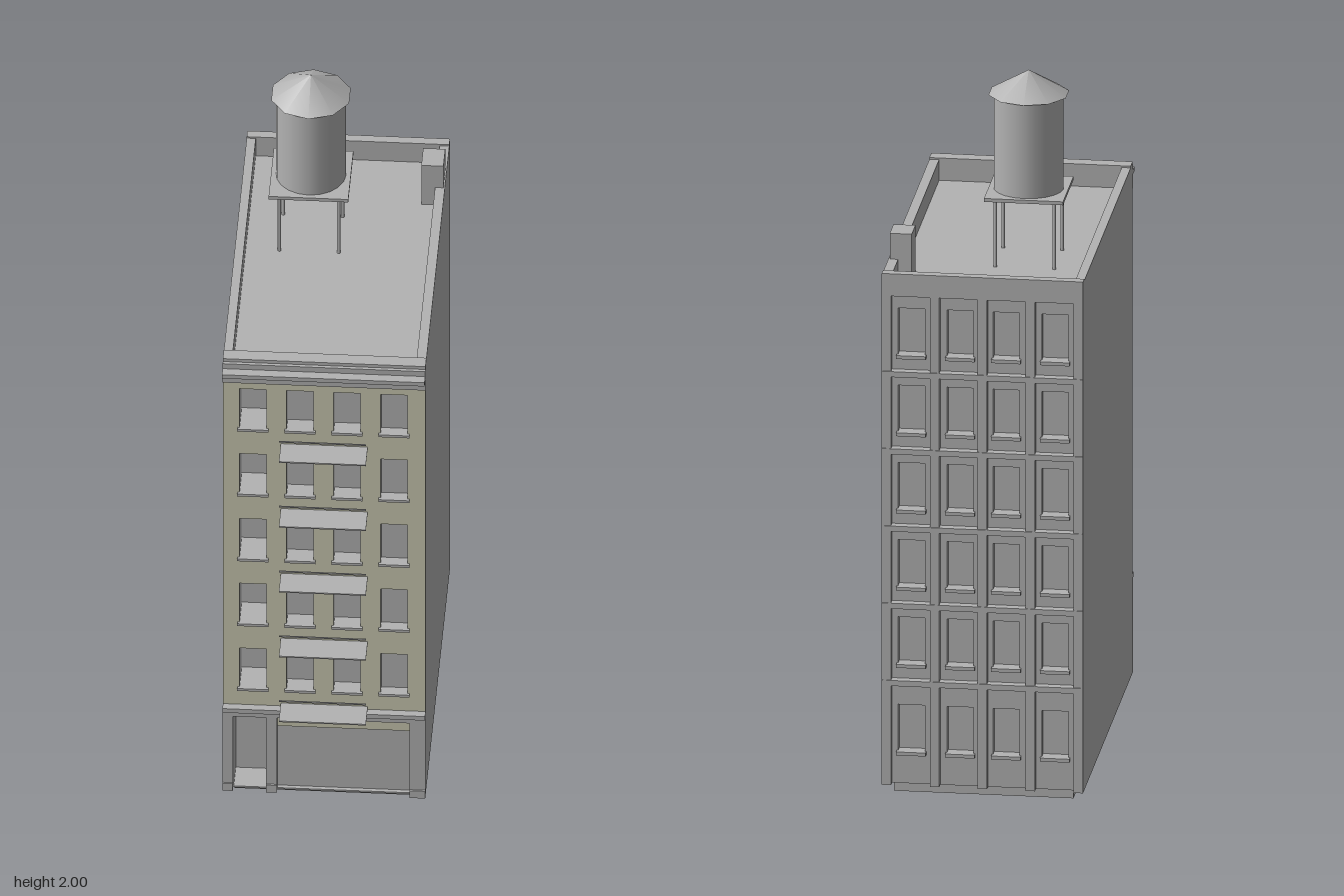
import * as THREE from 'three';

export function createModel() {
  const model = new THREE.Group();
  model.name = 'apartmentBuilding';

  const grey = new THREE.MeshStandardMaterial({ color: 0xb3b3b3 });
  grey.name = 'concreteGrey';
  const beige = new THREE.MeshStandardMaterial({ color: 0xcac9b1 });
  beige.name = 'facadeBeige';

  const add = (name, geometry, material = grey) => {
    const mesh = new THREE.Mesh(geometry, material);
    mesh.name = name;
    model.add(mesh);
    return mesh;
  };
  // Box given by its limits on each axis
  const box = (name, x0, x1, y0, y1, z0, z1, material = grey) =>
    add(name, new THREE.BoxGeometry(x1 - x0, y1 - y0, z1 - z0)
      .translate((x0 + x1) / 2, (y0 + y1) / 2, (z0 + z1) / 2), material);
  const cylinder = (name, rTop, rBottom, y0, y1, x, z, sides) =>
    add(name, new THREE.CylinderGeometry(rTop, rBottom, y1 - y0, sides)
      .translate(x, (y0 + y1) / 2, z));
  const rectangle = (Type, x0, x1, y0, y1) => {
    const p = new Type();
    p.moveTo(x0, y0).lineTo(x1, y0).lineTo(x1, y1).lineTo(x0, y1).closePath();
    return p;
  };
  // Wall with rectangular openings [x0, x1, y0, y1]
  const wall = (name, y0, y1, z0, z1, openings, material) => {
    const shape = rectangle(THREE.Shape, -0.28, 0.28, y0, y1);
    for (const o of openings) shape.holes.push(rectangle(THREE.Path, ...o));
    const geometry = new THREE.ExtrudeGeometry(shape, { depth: z1 - z0, bevelEnabled: false });
    return add(name, geometry.translate(0, 0, z0), material);
  };

  // Plinth and main block
  box('plinth', -0.25, 0.25, 0, 0.025, -0.53, 0.445);
  box('mainBlock', -0.28, 0.28, 0.025, 1.45, -0.51, 0.375);

  // Parapet around the sunken roof
  box('parapetFront', -0.28, 0.28, 1.45, 1.515, 0.44, 0.48);
  box('parapetBack', -0.28, 0.28, 1.45, 1.515, -0.557, -0.53);
  box('parapetRight', -0.28, -0.255, 1.45, 1.51, -0.53, 0.44);
  box('parapetLeft', 0.253, 0.28, 1.45, 1.51, -0.53, 0.44);
  box('roofEdge', -0.28, 0.28, 1.44, 1.45, 0.37, 0.475);

  // Front facade with four columns of recessed windows
  const floors = [0.375, 0.6, 0.825, 1.05, 1.275];
  const columns = [-0.197, -0.067, 0.063, 0.193];
  const recess = [0.09, 0.045, 0.04, 0.025];
  const half = 0.037;
  const frontOpenings = [];
  for (const y of floors) {
    columns.forEach((x, i) => {
      frontOpenings.push([x - half, x + half, y, y + 0.134]);
      const z = 0.475 - recess[i];
      box('frontWindow', x - half, x + half, y, y + 0.134, z - 0.008, z);
      box('frontSill', x - half - 0.006, x + half + 0.006, y - 0.008, y, 0.47, 0.484);
    });
  }
  wall('frontFacade', 0.31, 1.44, 0.375, 0.475, frontOpenings, [beige, grey]);

  // Balcony slabs with a slim handrail
  for (const y of floors) {
    box('balconySlab', -0.12, 0.12, y - 0.055, y - 0.051, 0.47, 0.557);
    box('balconyRail', -0.12, 0.12, y + 0.015, y + 0.019, 0.554, 0.557);
  }

  // Cornice
  box('corniceFrieze', -0.28, 0.28, 1.435, 1.475, 0.47, 0.484);
  box('corniceLedge', -0.28, 0.28, 1.475, 1.488, 0.47, 0.518);
  box('corniceTop', -0.28, 0.28, 1.488, 1.505, 0.47, 0.49);

  // Ground floor: doorway, shop window, piers and lintel
  wall('shopFront', 0.025, 0.31, 0.375, 0.475,
    [[-0.25, -0.16, 0.03, 0.28], [-0.13, 0.235, 0.03, 0.28]], grey);
  box('door', -0.25, -0.16, 0.03, 0.21, 0.382, 0.39);
  box('doorTransom', -0.25, -0.16, 0.21, 0.28, 0.382, 0.391, beige);
  box('shopWindow', -0.13, 0.235, 0.03, 0.24, 0.455, 0.463);
  box('shopSign', -0.13, 0.235, 0.24, 0.28, 0.46, 0.469, beige);
  for (const [x0, x1] of [[-0.28, -0.252], [-0.16, -0.13], [0.237, 0.28]]) {
    box('pier', x0, x1, 0.025, 0.285, 0.47, 0.487);
    box('pierBase', x0, x1, 0.025, 0.05, 0.47, 0.492);
  }
  box('shopLintel', -0.28, 0.28, 0.28, 0.3, 0.47, 0.487);
  box('shopLedge', -0.28, 0.28, 0.3, 0.314, 0.47, 0.498);

  // Back wall: recessed windows between pilasters and floor bands
  const backOpenings = [];
  for (const y of [0.12, ...floors]) {
    for (const x of [-0.2, -0.064, 0.064, 0.2]) {
      backOpenings.push([x - half, x + half, y, y + 0.134]);
      box('backSill', x - half - 0.004, x + half + 0.004, y - 0.01, y, -0.55, -0.53);
    }
  }
  wall('backWall', 0.025, 1.45, -0.535, -0.51, backOpenings, grey);
  for (const x of [-0.267, -0.133, 0, 0.133, 0.267]) {
    box('backPilaster', x - 0.013, x + 0.013, 0.025, 1.45, -0.557, -0.53);
  }
  for (const y of floors) {
    box('backBand', -0.28, 0.28, y - 0.06, y - 0.044, -0.56, -0.53);
  }

  // Chimney
  box('chimney', 0.215, 0.276, 1.45, 1.585, -0.418, -0.34);

  // Water tank on legs
  const tx = -0.08, tz = -0.188;
  for (const sx of [-1, 1]) {
    for (const sz of [-1, 1]) {
      cylinder('tankLeg', 0.005, 0.005, 1.45, 1.65, tx + sx * 0.082, tz + sz * 0.082, 8);
    }
  }
  box('tankPlatform', tx - 0.11, tx + 0.11, 1.647, 1.657, tz - 0.11, tz + 0.11);
  cylinder('waterTank', 0.097, 0.097, 1.657, 1.935, tx, tz, 20);
  cylinder('tankRoof', 0, 0.113, 1.933, 2, tx, tz, 10);

  return model;
}
